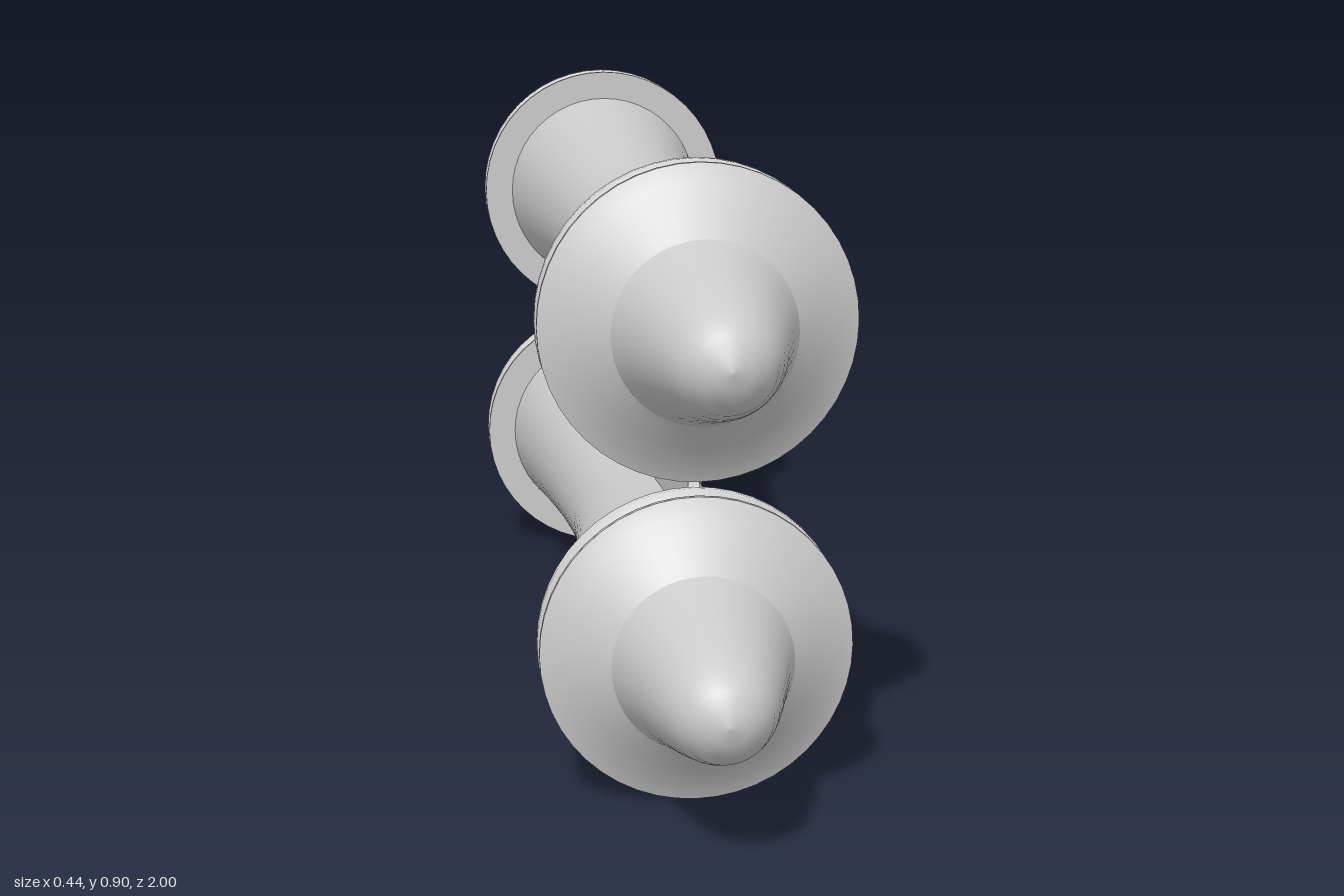
import * as THREE from 'three';

const material = new THREE.MeshStandardMaterial({ color: 0xcccccc, side: THREE.DoubleSide });
const SIDES = 48;
const END = 0.635; // where the wound paper meets the end discs

// Turned part along +z from [radius, z] pairs, listed with rising z
function turned(name, profile) {
  const points = profile.map(([r, z]) => new THREE.Vector2(r, z));
  const mesh = new THREE.Mesh(new THREE.LatheGeometry(points, SIDES).rotateX(Math.PI / 2), material);
  mesh.name = name;
  return mesh;
}

// Disc, groove and pointed knob at one end of a roller
function createRollerEnd() {
  const end = new THREE.Group();
  end.name = 'rollerEnd';
  end.add(
    turned('innerFace', [[0, 0.631], [0.219, 0.631]]),
    turned('grooveRim', [[0.219, 0.631], [0.219, 0.64], [0.205, 0.652], [0.198, 0.66], [0.205, 0.668], [0.219, 0.678], [0.219, 0.686]]),
    turned('flare', [[0.219, 0.686], [0.195, 0.697], [0.165, 0.72], [0.143, 0.737], [0.126, 0.752]]),
    turned('knob', [[0.126, 0.752], [0.113, 0.79], [0.1, 0.84], [0.087, 0.89], [0.075, 0.93],
      [0.063, 0.96], [0.045, 0.982], [0.024, 0.995], [0, 1]]),
  );
  return end;
}

// Waisted paper roll between two mirrored ends
function createRoller(name, y) {
  const roller = new THREE.Group();
  roller.name = name;
  const waist = [];
  for (let i = -8; i <= 8; i++) {
    const t = i / 8;
    waist.push([0.113 + 0.058 * Math.abs(t) ** 1.5, t * END]);
  }
  const front = createRollerEnd();
  const back = createRollerEnd();
  back.rotation.y = Math.PI;
  roller.add(turned('paperRoll', waist), front, back);
  roller.position.y = y;
  return roller;
}

// Thin sheet between the rolls, with a scooped edge at each end
function createSheet() {
  const shape = new THREE.Shape();
  shape.moveTo(-0.632, 0.3);
  shape.lineTo(0.632, 0.3);
  shape.lineTo(0.632, 0.415);
  shape.quadraticCurveTo(0.588, 0.453, 0.632, 0.492);
  shape.lineTo(0.632, 0.605);
  shape.lineTo(-0.632, 0.605);
  shape.lineTo(-0.632, 0.492);
  shape.quadraticCurveTo(-0.588, 0.453, -0.632, 0.415);
  shape.closePath();
  const geometry = new THREE.ExtrudeGeometry(shape, { depth: 0.016, bevelEnabled: false, curveSegments: 10 });
  geometry.rotateY(Math.PI / 2).translate(-0.004, 0, 0);
  const sheet = new THREE.Mesh(geometry, material);
  sheet.name = 'paperSheet';
  return sheet;
}

export function createModel() {
  const scroll = new THREE.Group();
  scroll.name = 'scroll';
  scroll.add(createRoller('lowerRoller', 0.222), createRoller('upperRoller', 0.681), createSheet());
  return scroll;
}
